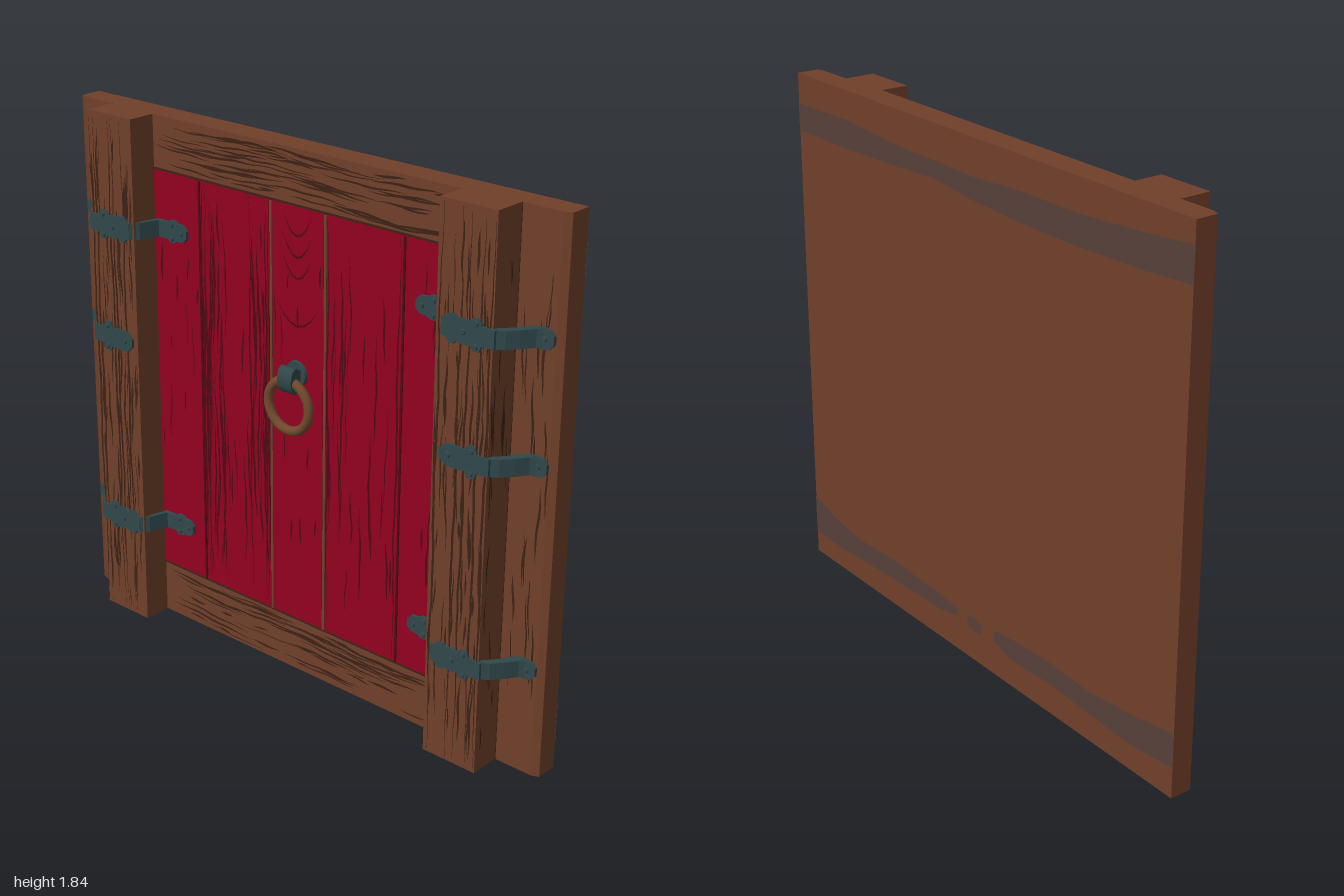
import * as THREE from 'three';
import { mergeGeometries } from 'three/addons/utils/BufferGeometryUtils.js';

const mat = (name, color, side = THREE.FrontSide) => {
  const m = new THREE.MeshStandardMaterial({ color, side });
  m.name = name;
  return m;
};

export function createModel() {
  const wood = mat('brown wood', 0x703f29);
  const red = mat('red paint', 0x920020);
  const iron = mat('dark iron', 0x30474a);
  const bronze = mat('bronze ring', 0x70482c);
  const woodGrain = mat('wood grain', 0x3c2215, THREE.DoubleSide);
  const redGrain = mat('red grain', 0x500814, THREE.DoubleSide);
  const stain = mat('back stain', 0x57403a, THREE.DoubleSide);

  const root = new THREE.Group();
  root.name = 'shutterDoor';
  let seed = 7;
  const rand = () => (seed = (seed * 16807) % 2147483647) / 2147483647;
  const between = (a, b) => a + (b - a) * rand();
  const shapeOf = (pts) => new THREE.Shape(pts.map(([x, y]) => new THREE.Vector2(x, y)));

  const add = (name, geo, material, parent = root) => {
    const mesh = new THREE.Mesh(geo, material);
    mesh.name = name;
    parent.add(mesh);
    return mesh;
  };
  // Box given by its limits
  const box = (name, x0, x1, y0, y1, z0, z1, material, parent) => {
    const g = new THREE.BoxGeometry(x1 - x0, y1 - y0, z1 - z0);
    g.translate((x0 + x1) / 2, (y0 + y1) / 2, (z0 + z1) / 2);
    return add(name, g, material, parent);
  };
  // Outline in x and z swept upwards from y0 to y1
  const sweepUp = (name, outline, y0, y1, material, parent) => {
    const g = new THREE.ExtrudeGeometry(shapeOf(outline), { depth: y1 - y0, bevelEnabled: false });
    return add(name, g.rotateX(Math.PI / 2).translate(0, y1, 0), material, parent);
  };

  // Flat tapering ribbon through [x, y] points
  const ribbon = (pts, z, width) => {
    const pos = [], idx = [], n = pts.length - 1;
    pts.forEach(([x, y], i) => {
      const a = pts[Math.max(0, i - 1)], b = pts[Math.min(n, i + 1)];
      const dx = b[0] - a[0], dy = b[1] - a[1], l = Math.hypot(dx, dy);
      const w = width * (0.12 + Math.sin(Math.PI * i / n)) / 2;
      pos.push(x + dy / l * w, y - dx / l * w, z, x - dy / l * w, y + dx / l * w, z);
      if (i < n) idx.push(2 * i, 2 * i + 2, 2 * i + 1, 2 * i + 1, 2 * i + 2, 2 * i + 3);
    });
    const g = new THREE.BufferGeometry();
    g.setAttribute('position', new THREE.Float32BufferAttribute(pos, 3));
    g.setIndex(idx);
    g.computeVertexNormals();
    return g;
  };
  // Grain strokes inside a rectangle, waving together so they stay near parallel
  const grain = (name, [x0, x1, y0, y1], z, count, maxLen, material, vertical = true) => {
    const [c0, c1, l0, l1] = vertical ? [x0, x1, y0, y1] : [y0, y1, x0, x1];
    const strokes = [];
    for (let k = 0; k < count; k++) {
      const len = between(0.05, maxLen), start = between(l0, l1 - len);
      const c = between(c0 + 0.006, c1 - 0.006), pts = [];
      for (let i = 0; i <= 10; i++) {
        const along = start + len * i / 10;
        const wave = 0.006 * Math.sin(9 * along + 12 * c) + 0.002 * Math.sin(40 * along + k);
        const across = Math.min(c1 - 0.003, Math.max(c0 + 0.003, c + wave));
        pts.push(vertical ? [across, along] : [along, across]);
      }
      strokes.push(ribbon(pts, z, between(0.003, 0.0085)));
    }
    return add(name, mergeGeometries(strokes), material);
  };
  // Long wavering cracks, each [x, y0, y1, width]
  const cracks = (name, list, z, material) => add(name, mergeGeometries(list.map(([x, y0, y1, w]) => {
    const pts = [];
    for (let i = 0; i <= 30; i++) {
      const y = y0 + (y1 - y0) * i / 30;
      pts.push([x + 0.003 * Math.sin(11 * y + 40 * x) + 0.0015 * Math.sin(37 * y), y]);
    }
    return ribbon(pts, z, w);
  })), material);

  // Backing slab, outer boards and tall posts
  box('backSlab', -1, 1, 0, 1.84, -0.105, -0.03, wood);
  for (const s of [-1, 1]) {
    const side = s < 0 ? 'right' : 'left';
    const [o0, o1] = s < 0 ? [-0.98, -0.84] : [0.835, 0.98];
    sweepUp(side + 'OuterBoard', [[s, -0.04], [s, -0.028], [s * 0.975, -0.018], [s * 0.83, -0.018], [s * 0.83, -0.04]],
      0, 1.84, wood);
    grain(side + 'OuterGrain', [o0, o1, 0.02, 1.82], -0.0165, 20, 0.3, woodGrain);

    const [p0, p1] = s < 0 ? [-0.842, -0.64] : [0.63, 0.835];
    box(side + 'Post', p0, p1, 0, 1.84, -0.09, 0.092, wood);
    grain(side + 'PostGrain', [p0 + 0.004, p1 - 0.004, 0.02, 1.82], 0.0935, 72, 0.3, woodGrain);
    const lines = s < 0 ? [-0.836, -0.818, -0.75, -0.735, -0.69] : [0.645, 0.72, 0.75, 0.795, 0.828];
    cracks(side + 'PostCracks', lines.map((x) => [x, 0.01, 1.83, 0.008]), 0.094, woodGrain);
    const edge = s < 0 ? p0 : p1;
    box(side + 'PostSeam', edge - 0.003, edge + 0.003, 0, 1.84, -0.02, -0.0165, woodGrain);
    // Sparse grain on the outward face of the post
    const rect = s > 0 ? [-0.088, 0.01, 0.02, 1.82] : [-0.01, 0.088, 0.02, 1.82];
    grain(side + 'PostSideGrain', rect, s * edge + 0.0015, 16, 0.25, woodGrain).rotation.y = s * Math.PI / 2;
  }

  // Top and bottom rails
  for (const [name, y0, y1] of [['bottomRail', 0, 0.197], ['topRail', 1.66, 1.84]]) {
    box(name, -0.64, 0.63, y0, y1, -0.04, -0.009, wood);
    grain(name + 'Grain', [-0.635, 0.625, y0 + 0.01, y1 - 0.005], -0.0075, 55, 0.4, woodGrain, false);
    const e = y0 ? y0 : y1;
    box(name + 'Seam', -0.64, 0.63, e - 0.003, e + 0.003, -0.012, -0.0045, woodGrain);
  }

  // Red planks, some with brown gaps between them
  const cuts = [-0.64, -0.43, -0.115, 0.115, 0.43, 0.63];
  const density = [10, 22, 11, 24, 10];
  density.forEach((count, i) => {
    const a = cuts[i], b = cuts[i + 1];
    box('redPlank', a, b, 0.197, 1.66, -0.04, -0.007, red);
    grain('plankGrain', [a + 0.012, b - 0.01, 0.21, 1.65], -0.0055, count, i % 2 ? 0.45 : 0.22, redGrain);
    if (i) box('plankSeam', a - 0.004, a + 0.004, 0.2, 1.655, -0.01, -0.004, redGrain);
    if (i === 2 || i === 3) box('plankGap', a - 0.002, a + 0.008, 0.2, 1.655, -0.01, -0.0035, wood);
  });
  // Dense bundles and long cracks beside the seams
  grain('seamGrain', [-0.425, -0.33, 0.21, 1.65], -0.005, 24, 0.6, redGrain);
  grain('seamGrain', [-0.2, -0.12, 0.21, 1.65], -0.005, 18, 0.5, redGrain);
  cracks('plankCracks', [[-0.42, 0.21, 1.65, 0.012], [-0.405, 0.21, 1.65, 0.008], [-0.33, 0.22, 1.2, 0.007],
    [-0.205, 0.21, 1.65, 0.007], [-0.135, 0.21, 1.65, 0.009], [-0.123, 0.21, 1.65, 0.008],
    [0.13, 0.21, 1.65, 0.007], [0.19, 0.6, 1.5, 0.006], [0.415, 0.21, 1.65, 0.007]], -0.0045, redGrain);
  // Arched grain on the middle plank
  const arches = [1.26, 1.42, 1.49, 1.56].map((y, k) => ribbon([-3, -2, -1, 0, 1, 2, 3].map(
    (i) => [i * (k ? 0.02 : 0.029), y + 0.008 * i * i]), -0.005, 0.007));
  add('archedGrain', mergeGeometries(arches), redGrain);

  // Iron straps bent over the posts; half outlines are [distance from centre, half height]
  const endOutline = [[0.975, 0.014], [0.96, 0.029], [0.935, 0.034], [0.91, 0.029], [0.9, 0.028]];
  const longOutline = [[0.845, 0.029], [0.8, 0.031], [0.793, 0.05], [0.77, 0.05], [0.757, 0.036], [0.735, 0.04],
    [0.71, 0.036], [0.7, 0.046], [0.68, 0.044], [0.67, 0.03], [0.655, 0.029]];
  const tipOutline = [[0.618, 0.026], [0.575, 0.026], [0.56, 0.038], [0.54, 0.039], [0.525, 0.03], [0.5, 0.029], [0.483, 0.013]];
  const shortOutline = [[0.845, 0.029], [0.8, 0.03], [0.793, 0.052], [0.767, 0.052], [0.757, 0.034], [0.715, 0.037],
    [0.685, 0.036], [0.66, 0.015]];
  const strap = (s, y, long) => {
    const g = new THREE.Group();
    g.name = (s < 0 ? 'right' : 'left') + (long ? 'LongStrap' : 'ShortStrap');
    // Bent band, as a side profile swept over the strap height
    const top = [[0.94, -0.007], [0.922, 0.004], [0.895, 0.045], [0.868, 0.078], [0.832, 0.1]]
      .concat(long ? [[0.655, 0.1], [0.63, 0.075], [0.61, 0.006], [0.52, 0.004]] : [[0.69, 0.1]]);
    const under = (long ? [[0.52, -0.008], [0.625, -0.008], [0.645, 0.08]] : [[0.69, 0.088]])
      .concat([[0.825, 0.085], [0.846, 0.066], [0.87, 0.035], [0.9, -0.016], [0.94, -0.018]]);
    sweepUp('band', [...top, ...under].map(([x, z]) => [s * x, z]), y - 0.029, y + 0.029, iron, g);
    // Flat shaped plates
    const plate = (name, half, z) => {
      const outline = [...half, ...half.map(([x, h]) => [x, -h]).reverse()].map(([x, h]) => [s * x, h]);
      const geo = new THREE.ExtrudeGeometry(shapeOf(outline), { depth: 0.013, bevelEnabled: false });
      add(name, geo.translate(0, y, z), iron, g);
    };
    const rivet = (x, dy, z) => {
      const geo = new THREE.CylinderGeometry(0.008, 0.01, 0.007, 8);
      add('rivet', geo.rotateX(Math.PI / 2).translate(s * x, y + dy, z + 0.003), iron, g);
    };
    plate('endPlate', endOutline, -0.019);
    rivet(0.943, 0, -0.006);
    plate('postPlate', long ? longOutline : shortOutline, 0.088);
    for (const d of [-1, 1]) rivet(0.78, d * 0.036, 0.101);
    if (long) {
      plate('tipPlate', tipOutline, -0.008);
      rivet(0.735, 0, 0.101);
      rivet(0.508, 0, 0.005);
      for (const d of [-1, 1]) rivet(0.55, d * 0.024, 0.005);
    } else rivet(0.695, 0, 0.101);
    root.add(g);
  };
  for (const s of [-1, 1]) {
    strap(s, 1.46, true);
    strap(s, 1.06, false);
    strap(s, 0.375, true);
  }

  // Door pull: iron mount and hanging ring
  const pull = new THREE.Group();
  pull.name = 'doorPull';
  root.add(pull);
  const mount = new THREE.CylinderGeometry(0.042, 0.045, 0.014, 16);
  add('mountPlate', mount.rotateX(Math.PI / 2).translate(0, 1.1, -0.003), iron, pull);
  box('mountStem', -0.022, 0.022, 1.06, 1.12, -0.01, 0.05, iron, pull);
  const loop = new THREE.CylinderGeometry(0.03, 0.03, 0.06, 14);
  loop.rotateZ(Math.PI / 2).scale(1, 1.5, 0.8).translate(0, 1.09, 0.035);
  add('mountLoop', loop, iron, pull);
  const ring = new THREE.TorusGeometry(0.087, 0.0165, 10, 36);
  add('pullRing', ring.translate(0, 1.0, 0.036), bronze, pull);

  // Wavy stains across the back: [x, lower y, upper y]
  const stains = [
    [[-1, 1.655, 1.77], [-0.8, 1.64, 1.75], [-0.5, 1.63, 1.73], [-0.25, 1.63, 1.73], [0, 1.64, 1.715],
      [0.2, 1.66, 1.72], [0.4, 1.65, 1.72], [0.7, 1.64, 1.74], [1, 1.64, 1.735]],
    [[-1, 0.11, 0.23], [-0.8, 0.09, 0.2], [-0.6, 0.1, 0.18], [-0.4, 0.11, 0.19], [-0.2, 0.1, 0.18], [-0.11, 0.13, 0.17]],
    [[-0.04, 0.12, 0.15], [0, 0.11, 0.165], [0.04, 0.125, 0.16]],
    [[0.1, 0.13, 0.16], [0.2, 0.11, 0.17], [0.5, 0.1, 0.18], [0.7, 0.09, 0.17], [0.85, 0.08, 0.19], [1, 0.085, 0.23]],
  ];
  for (const rows of stains) {
    const outline = [...rows.map(([x, lo]) => [-x, lo]), ...rows.map(([x, , hi]) => [-x, hi]).reverse()];
    const g = new THREE.ShapeGeometry(shapeOf(outline));
    add('backStain', g.rotateY(Math.PI).translate(0, 0, -0.1065), stain);
  }
  return root;
}
